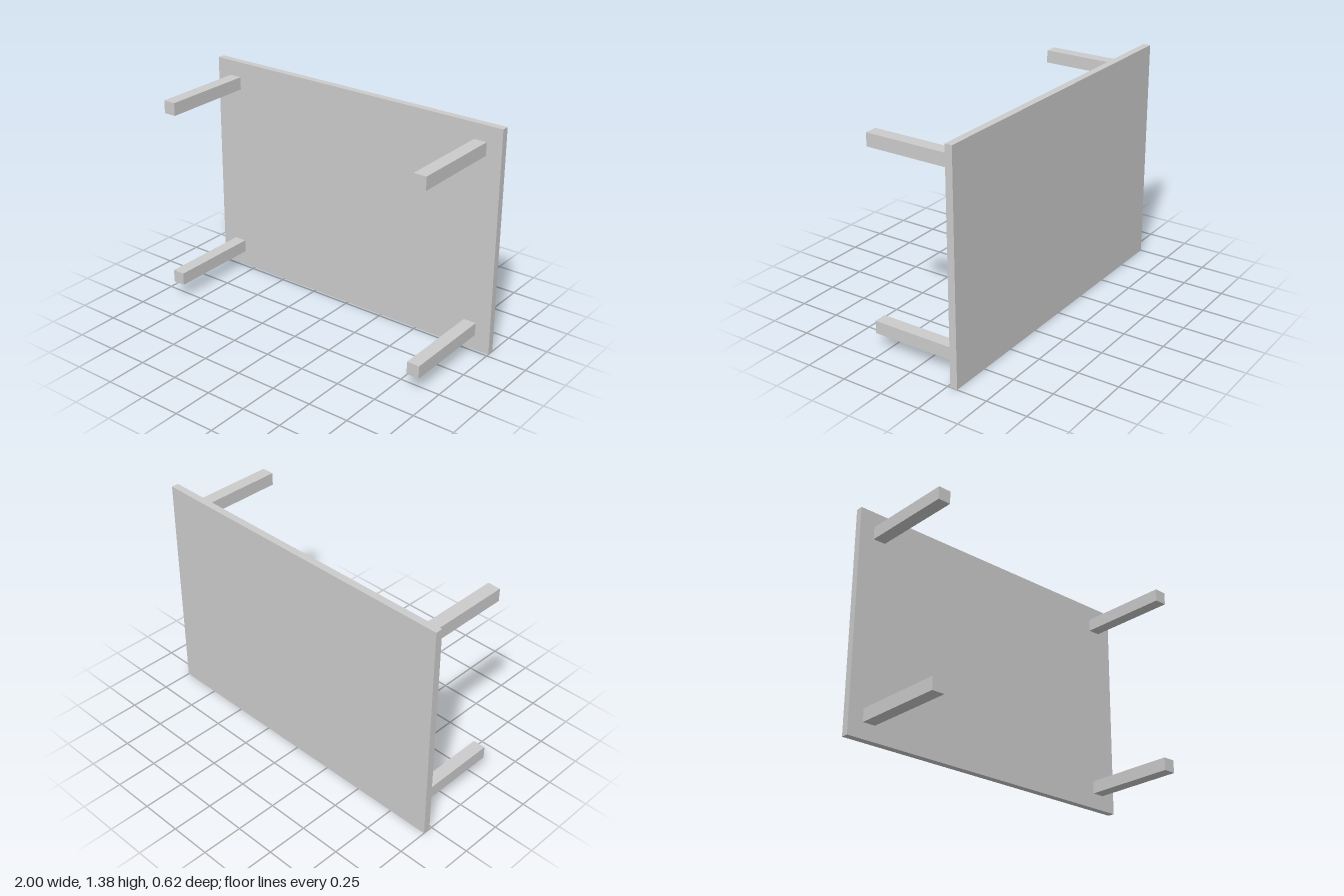
import * as THREE from 'three';

const HEIGHT = 1.376;    // panel height (y)
const DEPTH = 0.624;     // overall depth (z)
const THICKNESS = 0.044; // panel thickness
const LEG = 0.078;       // square leg section
const INSET = 0.134;     // panel edge to leg centre

export function createModel() {
  const group = new THREE.Group();
  group.name = 'tippedTable';
  const material = new THREE.MeshStandardMaterial({ color: 0xcccccc, flatShading: true });

  const addBox = (name, w, h, d, x, y, z) => {
    const mesh = new THREE.Mesh(new THREE.BoxGeometry(w, h, d), material);
    mesh.name = name;
    mesh.position.set(x, y, z);
    group.add(mesh);
  };

  // Table top standing on its long edge at the back
  addBox('tableTop', 2, HEIGHT, THICKNESS, 0, HEIGHT / 2, (THICKNESS - DEPTH) / 2);

  // Four legs reaching forward from the top's underside
  const length = DEPTH - THICKNESS;
  for (const [side, x] of [['left', 1 - INSET], ['right', INSET - 1]]) {
    for (const [level, y] of [['Lower', INSET], ['Upper', HEIGHT - INSET]]) {
      addBox(`${side}${level}Leg`, LEG, LEG, length, x, y, THICKNESS / 2);
    }
  }
  return group;
}
